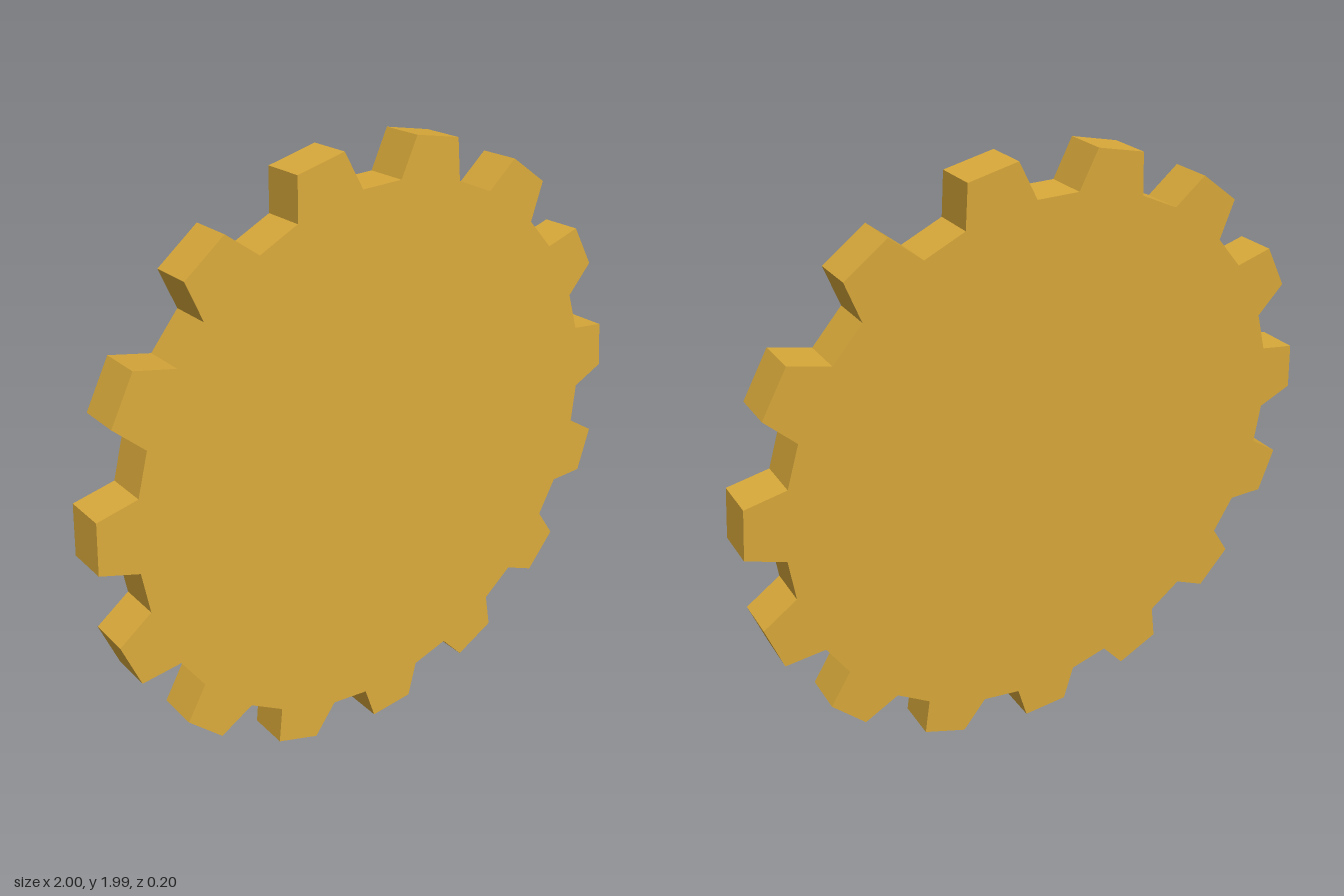
import * as THREE from 'three';

const TEETH = 15;
const TIP_RADIUS = 1.0;
const ROOT_RADIUS = 0.88;
const THICKNESS = 0.132;

// Outline of straight-sided, tapered teeth, with one tooth pointing straight down
function gearShape() {
  const corners = [[-7.5, ROOT_RADIUS], [-4.6, TIP_RADIUS], [4.6, TIP_RADIUS], [7.5, ROOT_RADIUS]];
  const points = [];
  for (let i = 0; i < TEETH; i++) {
    for (const [offset, radius] of corners) {
      const a = THREE.MathUtils.degToRad(-90 + i * 360 / TEETH + offset);
      points.push(new THREE.Vector2(radius * Math.cos(a), radius * Math.sin(a)));
    }
  }
  return new THREE.Shape(points);
}

export function createModel() {
  const group = new THREE.Group();
  group.name = 'gear';

  // Flat solid disc with teeth, centred on its thickness
  const geometry = new THREE.ExtrudeGeometry(gearShape(), { depth: THICKNESS, bevelEnabled: false });
  geometry.translate(0, 0, -THICKNESS / 2);
  const material = new THREE.MeshStandardMaterial({ color: 0xd9a93a });
  const wheel = new THREE.Mesh(geometry, material);
  wheel.name = 'toothedWheel';

  // Leans slightly backwards while standing on its lowest tooth
  wheel.rotation.x = -0.032;
  wheel.position.y = 0.9985;
  group.add(wheel);
  return group;
}
